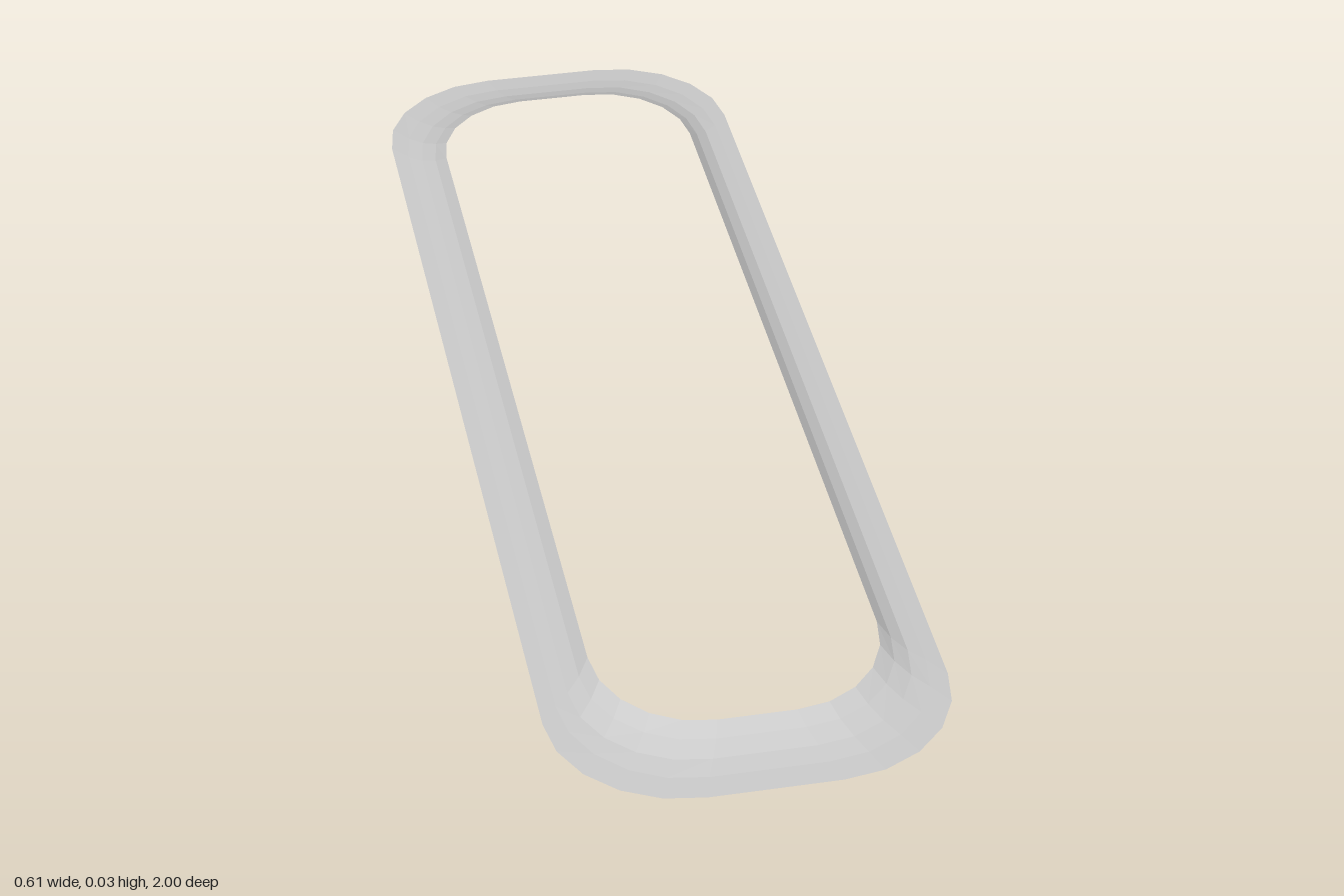
import * as THREE from 'three';

// Cross-section from outer edge to inner lip:
// half width, half length, corner radius in x, corner radius in z, height at sides, height at ends
const RINGS = [
  [0.305, 1.0, 0.205, 0.2, 0, 0],
  [0.28, 0.96, 0.19, 0.195, 0.002, 0.002],
  [0.258, 0.928, 0.18, 0.185, 0.005, 0.007],
  [0.237, 0.897, 0.17, 0.175, 0.016, 0.017],
  [0.22, 0.87, 0.16, 0.17, 0.032, 0.029],
];
const CORNER_STEPS = 5;

// Rounded rectangle loop, one corner after another
function ringPoints([w, l, rx, rz, ySide, yEnd]) {
  const points = [];
  for (let corner = 0; corner < 4; corner++) {
    const sx = corner === 0 || corner === 3 ? 1 : -1;
    const sz = corner < 2 ? 1 : -1;
    for (let i = 0; i <= CORNER_STEPS; i++) {
      const t = i / CORNER_STEPS;
      const a = (corner + t) * Math.PI / 2;
      const endness = Math.abs(Math.sin(a));
      points.push([
        sx * (w - rx) + rx * Math.cos(a),
        THREE.MathUtils.lerp(ySide, yEnd, endness),
        sz * (l - rz) + rz * Math.sin(a),
      ]);
    }
  }
  return points;
}

export function createModel() {
  const group = new THREE.Group();
  group.name = 'frameTrim';

  // Open flared rim, skinned between neighbouring loops
  const loops = RINGS.map(ringPoints);
  const n = loops[0].length;
  const index = [];
  for (let r = 0; r < loops.length - 1; r++) {
    for (let i = 0; i < n; i++) {
      const j = (i + 1) % n;
      const a = r * n + i, b = r * n + j, c = a + n, d = b + n;
      index.push(a, c, b, b, c, d);
    }
  }
  const geometry = new THREE.BufferGeometry();
  geometry.setAttribute('position', new THREE.Float32BufferAttribute(loops.flat(2), 3));
  geometry.setIndex(index);
  geometry.computeVertexNormals();

  const rim = new THREE.Mesh(geometry, new THREE.MeshStandardMaterial({
    color: 0xcccccc, flatShading: true, side: THREE.DoubleSide,
  }));
  rim.name = 'flaredRim';
  group.add(rim);
  return group;
}
